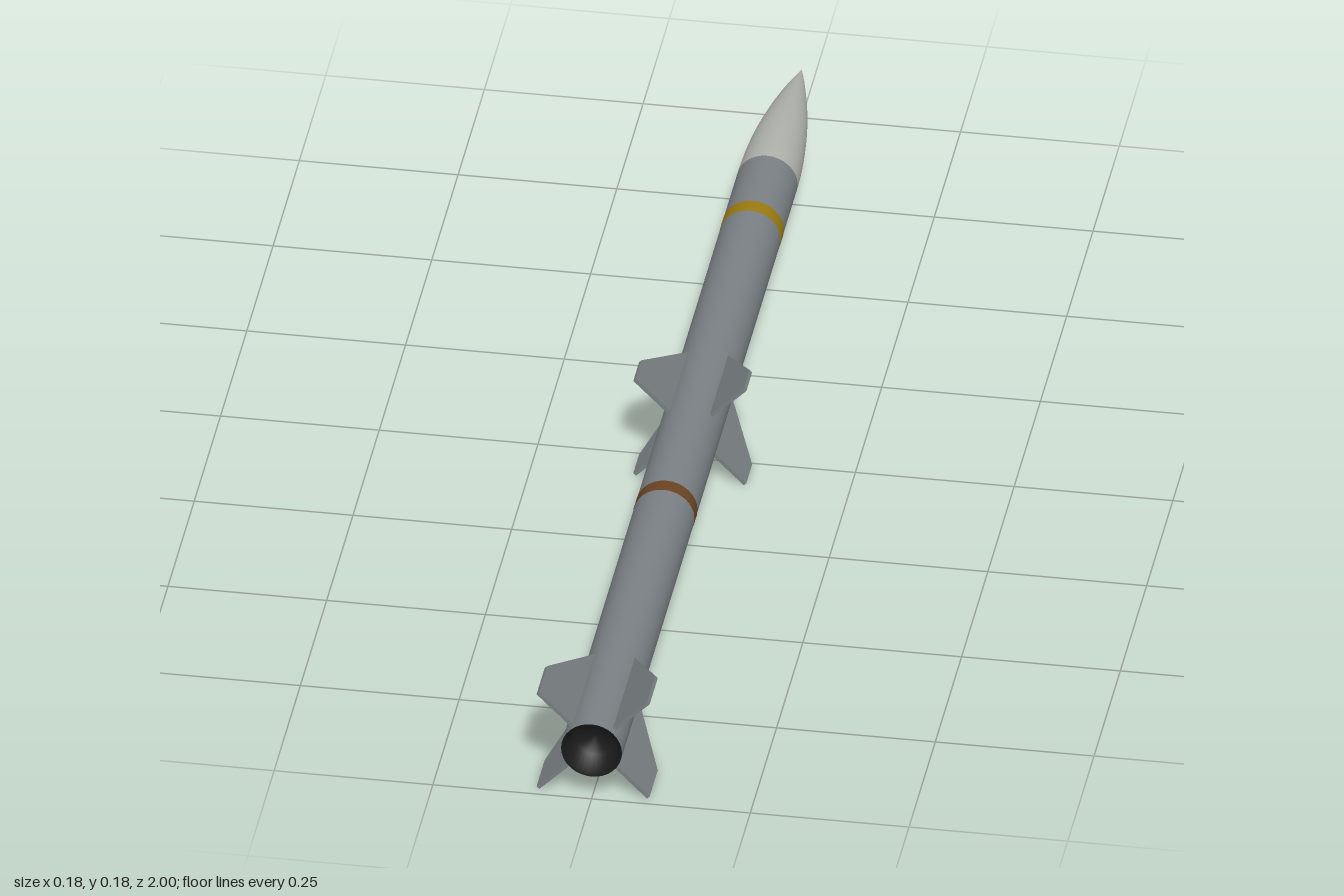
import * as THREE from 'three';

const R = 0.048;          // body radius
const AXIS_Y = 0.0885;    // height of the body axis
const SIDES = 32;

const paint = (color) => new THREE.MeshStandardMaterial({ color });
const bodyPaint = paint(0x7a8084);
const finPaint = paint(0x777d80);

// Surface of revolution about z from [radius, z] pairs
function turned(name, profile, material) {
  const points = profile.map(([r, z]) => new THREE.Vector2(r, z));
  const mesh = new THREE.Mesh(new THREE.LatheGeometry(points, SIDES).rotateX(Math.PI / 2), material);
  mesh.name = name;
  return mesh;
}

// Four swept fins in an X; outline given as [radius, z]
function finSet(name, outline) {
  const thickness = 0.006;
  const shape = new THREE.Shape(outline.map(([r, z]) => new THREE.Vector2(r, z)));
  const geometry = new THREE.ExtrudeGeometry(shape, { depth: thickness, bevelEnabled: false })
    .translate(0, 0, -thickness / 2)
    .rotateX(Math.PI / 2);
  const set = new THREE.Group();
  set.name = name + 's';
  for (let i = 0; i < 4; i++) {
    const fin = new THREE.Mesh(geometry, finPaint);
    fin.name = name;
    fin.rotation.z = Math.PI / 4 + i * Math.PI / 2;
    set.add(fin);
  }
  return set;
}

export function createModel() {
  const model = new THREE.Group();
  model.name = 'missile';
  const rocket = new THREE.Group();
  rocket.name = 'airframe';
  rocket.position.y = AXIS_Y;
  model.add(rocket);

  // Pointed ogive nose
  const noseBase = -0.67, noseLength = 0.33;
  const ogive = [];
  for (let i = 0; i <= 16; i++) {
    const t = 1 - i / 16;
    ogive.push([R * (1 - t * t), noseBase - noseLength * t]);
  }
  rocket.add(turned('noseCone', ogive, paint(0xb0b2ac)));

  // Straight body tube
  rocket.add(turned('body', [[R, noseBase], [R, 1]], bodyPaint));

  // Painted rings
  const ring = (name, z, width, color) => turned(name, [
    [R, z - width / 2], [R + 0.0005, z - width / 2], [R + 0.0005, z + width / 2], [R, z + width / 2],
  ], paint(color));
  rocket.add(ring('yellowBand', -0.523, 0.028, 0x9a7a10));
  rocket.add(ring('brownBand', 0.298, 0.026, 0x6b4422));

  // Dark recessed exhaust
  rocket.add(turned('nozzle', [[R, 1], [0.044, 1], [0.033, 0.96], [0, 0.955]], paint(0x1a1a1a)));

  // Mid-body wings and tail fins
  rocket.add(finSet('wing', [[0.04, -0.12], [0.123, 0.01], [0.123, 0.065], [0.04, 0.065]]));
  rocket.add(finSet('tailFin', [[0.04, 0.766], [0.123, 0.908], [0.123, 0.985], [0.04, 0.985]]));

  return model;
}
